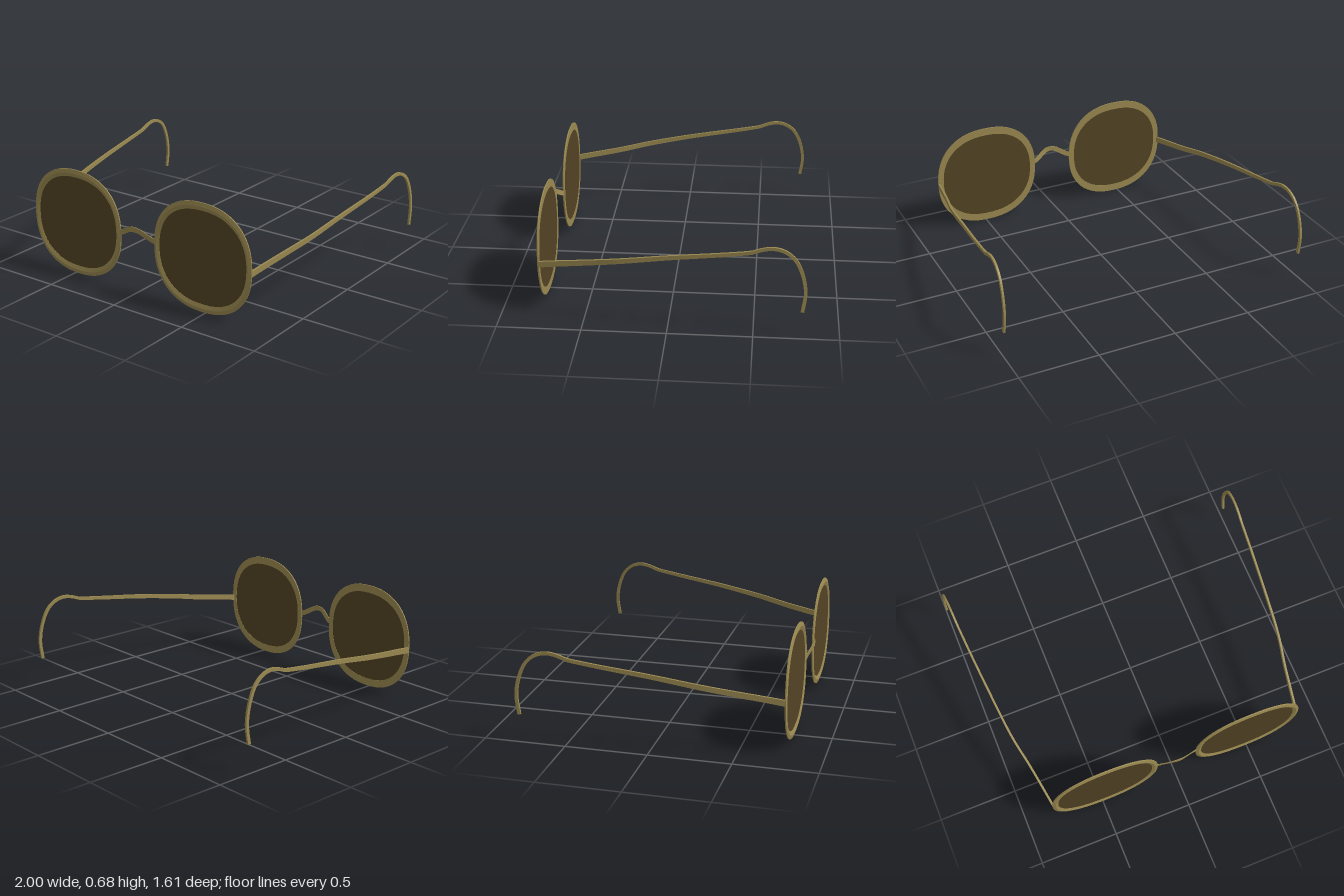
import * as THREE from 'three';

const V = (x, y, z) => new THREE.Vector3(x, y, z);

// Skin a row of cross-sections; each side of the section gets its own strip so edges stay crisp
function loft(rings, capped) {
  const pos = [], idx = [];
  const n = rings[0].length;
  for (let j = 0; j < n; j++) {
    const start = pos.length / 3;
    rings.forEach((ring, i) => {
      pos.push(...ring[j].toArray(), ...ring[(j + 1) % n].toArray());
      if (i === 0) return;
      const a = start + (i - 1) * 2;
      idx.push(a, a + 1, a + 3, a, a + 3, a + 2);
    });
  }
  if (capped) {
    for (const ring of [rings[0].slice().reverse(), rings[rings.length - 1]]) {
      const s = pos.length / 3;
      ring.forEach((p) => pos.push(...p.toArray()));
      for (let k = 1; k < n - 1; k++) idx.push(s, s + k, s + k + 1);
    }
  }
  const g = new THREE.BufferGeometry();
  g.setAttribute('position', new THREE.Float32BufferAttribute(pos, 3));
  g.setIndex(idx);
  g.computeVertexNormals();
  return g;
}

// Sweep a flat bar along a curve; thinAxis is the direction of its small dimension
function sweepBar(points, thinAxis, size, steps) {
  const curve = new THREE.CatmullRomCurve3(points, false, 'centripetal');
  const rings = [];
  for (let i = 0; i <= steps; i++) {
    const p = curve.getPointAt(i / steps);
    const t = curve.getTangentAt(i / steps);
    const v = t.clone().cross(thinAxis).normalize();
    const u = v.clone().cross(t);
    const [thin, wide] = size(p);
    rings.push([[-1, -1], [1, -1], [1, 1], [-1, 1]].map(([a, b]) =>
      p.clone().addScaledVector(u, a * thin / 2).addScaledVector(v, b * wide / 2)));
  }
  return loft(rings, true);
}

// Rounded lens outline, a soft superellipse
function outline(angle, rx, ry, power = 2.3) {
  const c = Math.cos(angle), s = Math.sin(angle);
  return [
    rx * Math.sign(c) * Math.abs(c) ** (2 / power),
    ry * Math.sign(s) * Math.abs(s) ** (2 / power),
  ];
}

const CX = 0.475, CY = 0.345, SEG = 72;

function rimGeometry() {
  // [inner-to-outer fraction, z]
  const profile = [[0, 0.764], [0, 0.769], [0.5, 0.777], [1, 0.771], [1, 0.764]];
  const rings = [];
  for (let i = 0; i <= SEG; i++) {
    const a = (i / SEG) * Math.PI * 2;
    rings.push(profile.map(([f, z]) => {
      const [x, y] = outline(a, 0.31 + 0.037 * f, 0.291 + 0.049 * f);
      return V(x, y, z);
    }));
  }
  return loft(rings, false);
}

function lensGeometry() {
  const pts = [];
  for (let i = 0; i < SEG; i++) {
    pts.push(new THREE.Vector2(...outline((i / SEG) * Math.PI * 2, 0.312, 0.293)));
  }
  return new THREE.ExtrudeGeometry(new THREE.Shape(pts), { depth: 0.003, bevelEnabled: false });
}

export function createModel() {
  const model = new THREE.Group();
  const brass = new THREE.MeshStandardMaterial({ color: 0x9a8950 });
  brass.name = 'brass frame';
  const tint = new THREE.MeshStandardMaterial({ color: 0x524324 });
  tint.name = 'dark brown lens';

  const add = (name, geometry, material, x = 0, y = 0, z = 0) => {
    const mesh = new THREE.Mesh(geometry, material);
    mesh.name = name;
    mesh.position.set(x, y, z);
    model.add(mesh);
  };

  const rim = rimGeometry();
  const lens = lensGeometry();

  // Temple path: straight arm, small step up, then the ear hook
  const arm = [
    [0.815, 0.330, 0.768], [0.829, 0.345, 0.68], [0.862, 0.377, 0.48], [0.901, 0.414, 0.28],
    [0.931, 0.462, 0], [0.957, 0.505, -0.3], [0.968, 0.529, -0.455], [0.970, 0.535, -0.485],
    [0.973, 0.555, -0.54], [0.976, 0.566, -0.6], [0.980, 0.553, -0.665], [0.984, 0.508, -0.725],
    [0.988, 0.420, -0.770], [0.991, 0.300, -0.793], [0.993, 0.178, -0.779],
  ];
  const armSize = (p) => {
    const f = THREE.MathUtils.clamp((0.77 - p.z) / 1.3, 0, 1);
    return [0.013, 0.037 - 0.017 * f];
  };

  for (const [side, s] of [['left', 1], ['right', -1]]) {
    add(side + 'Rim', rim, brass, s * CX, CY);
    add(side + 'Lens', lens, tint, s * CX, CY, 0.765);
    const path = arm.map(([x, y, z]) => V(s * x, y, z));
    add(side + 'Temple', sweepBar(path, V(1, 0, 0), armSize, 90), brass);
  }

  // Nose bridge: a thin strip arching up and forward
  const bridge = [
    [-0.145, 0.362, 0.768], [-0.115, 0.369, 0.772], [-0.075, 0.391, 0.785], [-0.035, 0.413, 0.797],
    [0, 0.419, 0.801],
    [0.035, 0.413, 0.797], [0.075, 0.391, 0.785], [0.115, 0.369, 0.772], [0.145, 0.362, 0.768],
  ].map((p) => V(...p));
  add('bridge', sweepBar(bridge, V(0, 0, 1), () => [0.005, 0.032], 40), brass);

  return model;
}
